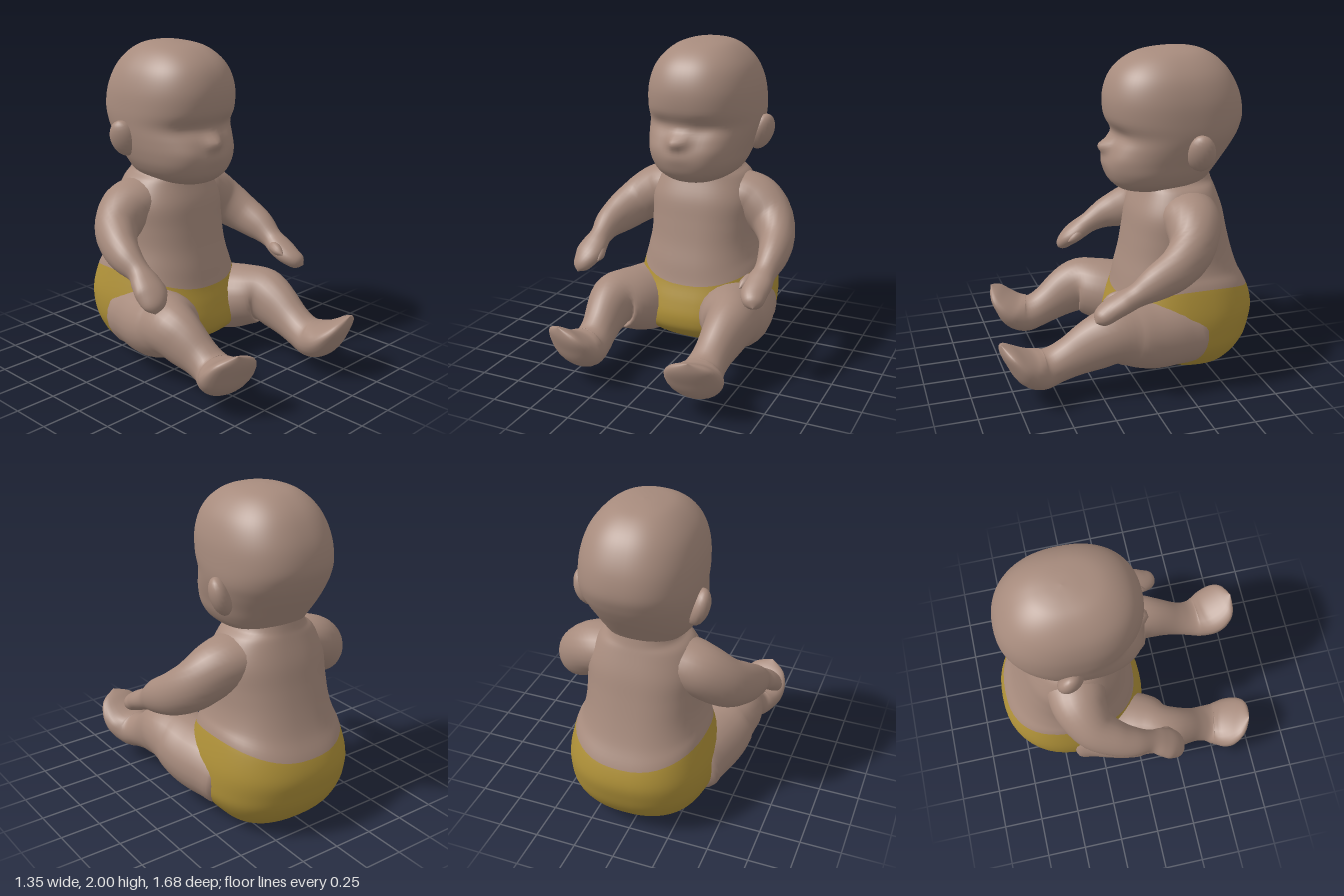
import * as THREE from 'three';

const skin = new THREE.MeshStandardMaterial({ color: 0xa78b7d });
skin.name = 'skin';
const cloth = new THREE.MeshStandardMaterial({ color: 0xae9038 });
cloth.name = 'mustard cloth';

const STEPS = 5;

// Catmull-Rom through rows of numbers, column by column
function smoothRows(rows) {
  const out = [];
  const at = i => rows[Math.min(rows.length - 1, Math.max(0, i))];
  for (let i = 0; i < rows.length - 1; i++) {
    for (let s = 0; s < STEPS; s++) {
      const t = s / STEPS;
      out.push(rows[i].map((p1, k) => {
        const p0 = at(i - 1)[k], p2 = at(i + 1)[k], p3 = at(i + 2)[k];
        return p1 + 0.5 * t * (p2 - p0 + t * (2 * p0 - 5 * p1 + 4 * p2 - p3 + t * (3 * (p1 - p2) + p3 - p0)));
      }));
    }
  }
  out.push(rows[rows.length - 1]);
  return out;
}

// Skin a list of closed rings
function loft(ringCount, sides, pointAt) {
  const pos = [], index = [];
  for (let i = 0; i < ringCount; i++) {
    for (let j = 0; j < sides; j++) {
      pos.push(...pointAt(i, (j / sides) * Math.PI * 2).toArray());
      if (i === ringCount - 1) continue;
      const a = i * sides + j, b = i * sides + (j + 1) % sides;
      index.push(a, a + sides, b, b, a + sides, b + sides);
    }
  }
  const g = new THREE.BufferGeometry();
  g.setAttribute('position', new THREE.Float32BufferAttribute(pos, 3));
  g.setIndex(index);
  g.computeVertexNormals();
  return g;
}

// Horizontal rings from top to bottom: [y, centre x, front z, back z, half width, edge wave]
function bodyLoft(rows, power, sides, deform = v => v) {
  const r = smoothRows(rows);
  const curve = v => Math.sign(v) * Math.abs(v) ** (2 / power);
  return loft(r.length, sides, (i, t) => {
    const [y, cx, zf, zb, w, wave] = r[i];
    return deform(new THREE.Vector3(
      cx + Math.max(0, w) * curve(Math.sin(t)),
      y - wave * Math.cos(2 * t),
      (zf + zb) / 2 + (zf - zb) / 2 * curve(Math.cos(t))));
  });
}

// Limb along a path: [x, y, z, half width, half thickness]
function limbLoft(rows, sides = 24) {
  const r = smoothRows(rows);
  const centre = i => new THREE.Vector3(...r[Math.min(r.length - 1, Math.max(0, i))]);
  return loft(r.length, sides, (i, t) => {
    const dir = centre(i + 1).sub(centre(i - 1)).normalize();
    const side = new THREE.Vector3(0, 1, 0).cross(dir).normalize();
    const up = dir.clone().cross(side);
    return centre(i)
      .addScaledVector(side, Math.max(0, r[i][3]) * Math.sin(t))
      .addScaledVector(up, Math.max(0, r[i][4]) * Math.cos(t));
  });
}

export function createModel() {
  const group = new THREE.Group();
  const add = (name, geometry, material = skin) => {
    const m = new THREE.Mesh(geometry, material);
    m.name = name;
    group.add(m);
    return m;
  };

  // Face relief: [x, y, spread x, spread y, push along z]
  const relief = [
    [0.01, 1.42, 0.055, 0.045, 0.06],
    [0.01, 1.325, 0.1, 0.04, 0.012],
    [-0.13, 1.5, 0.08, 0.05, -0.015],
    [0.16, 1.5, 0.08, 0.05, -0.015],
    [-0.17, 1.36, 0.08, 0.07, 0.015],
    [0.21, 1.36, 0.08, 0.07, 0.015],
  ];
  const face = v => {
    if (v.z < -0.2) return v;
    let push = 0;
    for (const [x, y, sx, sy, d] of relief)
      push += d * Math.exp(-(((v.x - x) / sx) ** 2) - ((v.y - y) / sy) ** 2);
    v.z += push;
    return v;
  };
  add('head', bodyLoft([
    [2.0, 0.04, -0.33, -0.33, 0, 0],
    [1.992, 0.04, -0.23, -0.43, 0.085, 0],
    [1.967, 0.04, -0.1, -0.52, 0.17, 0],
    [1.91, 0.04, 0.0, -0.605, 0.245, 0],
    [1.83, 0.04, 0.065, -0.67, 0.303, 0],
    [1.72, 0.04, 0.098, -0.722, 0.338, 0],
    [1.6, 0.04, 0.09, -0.74, 0.348, 0],
    [1.51, 0.04, 0.052, -0.715, 0.345, 0],
    [1.43, 0.035, 0.075, -0.675, 0.332, 0],
    [1.35, 0.03, 0.095, -0.625, 0.312, 0],
    [1.27, 0.03, 0.095, -0.57, 0.285, 0],
    [1.2, 0.03, 0.06, -0.52, 0.235, 0],
    [1.15, 0.03, -0.02, -0.44, 0.14, 0],
    [1.13, 0.03, -0.2, -0.2, 0, 0],
  ], 2.3, 72, face));

  // Ears, flaring outward at the back
  for (const s of [-1, 1]) {
    const ear = add(s > 0 ? 'leftEar' : 'rightEar', new THREE.SphereGeometry(1, 20, 14));
    ear.scale.set(0.06, 0.118, 0.085);
    ear.position.set(0.04 + s * 0.335, 1.425, -0.38);
    ear.rotation.set(-0.15, s * -0.45, s * -0.38);
  }

  // Neck, trunk and nappy share one surface; the colour changes at the waistband
  const waistRow = 7;
  const sides = 48;
  const trunk = bodyLoft([
    [1.3, 0.03, -0.14, -0.54, 0.19, 0],
    [1.21, 0.03, -0.12, -0.56, 0.215, 0],
    [1.15, 0.03, -0.11, -0.58, 0.28, 0],
    [1.02, 0.03, -0.06, -0.625, 0.34, 0],
    [0.88, 0.03, -0.035, -0.66, 0.345, 0],
    [0.75, 0.03, -0.01, -0.7, 0.35, 0.01],
    [0.64, 0.03, 0.02, -0.745, 0.37, 0.025],
    [0.54, 0.035, 0.045, -0.805, 0.4, 0.045],
    [0.4, 0.035, 0.08, -0.835, 0.44, 0.015],
    [0.28, 0.035, 0.1, -0.82, 0.445, 0],
    [0.19, 0.04, 0.07, -0.79, 0.425, 0],
    [0.1, 0.04, -0.06, -0.73, 0.365, 0],
    [0.035, 0.05, -0.22, -0.65, 0.275, 0],
    [0.003, 0.06, -0.4, -0.56, 0.12, 0],
    [0, 0.06, -0.48, -0.48, 0, 0],
  ], 2.35, sides);
  const split = waistRow * STEPS * sides * 6;
  trunk.addGroup(0, split, 0);
  trunk.addGroup(split, trunk.index.count - split, 1);
  add('trunkAndNappy', trunk, [skin, cloth]);

  // Arms, including the mitten-shaped hands
  add('leftArm', limbLoft([
    [0.08, 1.05, -0.36, 0, 0],
    [0.14, 1.045, -0.36, 0.17, 0.11],
    [0.27, 1.025, -0.35, 0.18, 0.145],
    [0.38, 0.98, -0.34, 0.165, 0.16],
    [0.49, 0.89, -0.29, 0.135, 0.15],
    [0.56, 0.81, -0.18, 0.11, 0.13],
    [0.585, 0.745, -0.04, 0.09, 0.105],
    [0.58, 0.685, 0.07, 0.07, 0.07],
    [0.57, 0.645, 0.15, 0.085, 0.065],
    [0.57, 0.605, 0.23, 0.08, 0.06],
    [0.59, 0.57, 0.295, 0.055, 0.045],
    [0.6, 0.555, 0.325, 0, 0],
  ]));
  add('rightArm', limbLoft([
    [-0.02, 1.05, -0.36, 0, 0],
    [-0.08, 1.045, -0.36, 0.17, 0.11],
    [-0.21, 1.025, -0.355, 0.18, 0.145],
    [-0.32, 0.98, -0.35, 0.165, 0.16],
    [-0.44, 0.895, -0.295, 0.135, 0.15],
    [-0.515, 0.83, -0.18, 0.11, 0.13],
    [-0.55, 0.785, -0.07, 0.09, 0.1],
    [-0.555, 0.735, 0.03, 0.07, 0.07],
    [-0.565, 0.69, 0.1, 0.09, 0.065],
    [-0.58, 0.64, 0.165, 0.095, 0.06],
    [-0.605, 0.58, 0.215, 0.06, 0.04],
    [-0.615, 0.55, 0.235, 0, 0],
  ]));
  // Thumbs
  add('leftThumb', limbLoft([
    [0.54, 0.67, 0.12, 0, 0], [0.52, 0.66, 0.14, 0.035, 0.035],
    [0.495, 0.645, 0.2, 0.03, 0.03], [0.485, 0.63, 0.25, 0, 0]], 12));
  add('rightThumb', limbLoft([
    [-0.54, 0.7, 0.08, 0, 0], [-0.52, 0.69, 0.1, 0.035, 0.035],
    [-0.495, 0.65, 0.16, 0.03, 0.03], [-0.485, 0.63, 0.2, 0, 0]], 12));

  // Legs from hip to upturned toes; the right one is bent a little closer
  for (const s of [-1, 1]) {
    const reach = s > 0 ? 1 : 0.88;
    const hipShift = z => 0.025 * Math.min(1, Math.max(0, 0.5 - 2 * z));
    const splay = z => (s < 0 ? 0.12 * Math.max(0, z - 0.5) : 0);
    add(s > 0 ? 'leftLeg' : 'rightLeg', limbLoft([
      [0.235, 0.28, -0.4, 0, 0],
      [0.245, 0.28, -0.365, 0.21, 0.19],
      [0.28, 0.295, -0.25, 0.222, 0.215],
      [0.32, 0.31, -0.08, 0.225, 0.215],
      [0.36, 0.345, 0.06, 0.205, 0.195],
      [0.4, 0.36, 0.17, 0.16, 0.175],
      [0.4, 0.315, 0.29, 0.13, 0.16],
      [0.39, 0.255, 0.42, 0.112, 0.125],
      [0.385, 0.215, 0.52, 0.12, 0.11],
      [0.387, 0.2, 0.6, 0.145, 0.115],
      [0.395, 0.23, 0.68, 0.168, 0.1],
      [0.405, 0.295, 0.75, 0.16, 0.065],
      [0.415, 0.36, 0.805, 0.11, 0.035],
      [0.42, 0.405, 0.835, 0, 0],
    ].map(([x, y, z, a, b]) => [s * x + hipShift(z) - splay(z), y, z > 0 ? z * reach : z, a, b])));
  }
  return group;
}
